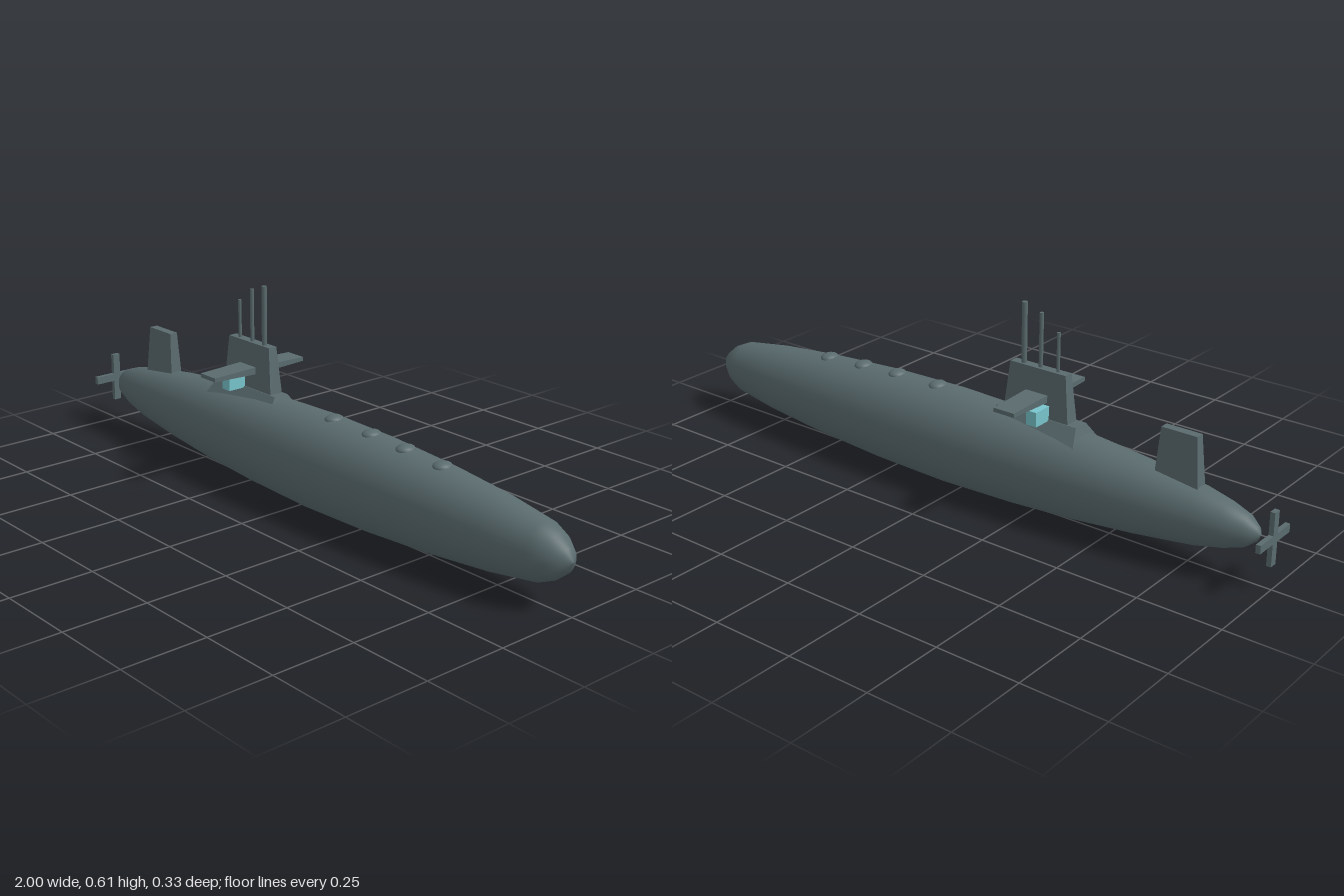
import * as THREE from 'three';

const hullGrey = new THREE.MeshStandardMaterial({ color: 0x5a6b6e });
hullGrey.name = 'hull grey';
const paleTeal = new THREE.MeshStandardMaterial({ color: 0x78c4cc });
paleTeal.name = 'pale teal';

// Box between two heights with a separate x range and half depth at each end
function taperedBox(y0, y1, bottom, top) {
  const g = new THREE.BoxGeometry(1, 1, 1);
  const p = g.attributes.position;
  for (let i = 0; i < p.count; i++) {
    const [x0, x1, z] = p.getY(i) < 0 ? bottom : top;
    p.setXYZ(i, p.getX(i) < 0 ? x0 : x1, p.getY(i) < 0 ? y0 : y1, Math.sign(p.getZ(i)) * z);
  }
  g.computeVertexNormals();
  return g;
}

export function createModel() {
  const sub = new THREE.Group();
  sub.name = 'submarine';
  const add = (name, geometry, x = 0, y = 0, z = 0, material = hullGrey, parent = sub) => {
    const mesh = new THREE.Mesh(geometry, material);
    mesh.name = name;
    mesh.position.set(x, y, z);
    parent.add(mesh);
    return mesh;
  };

  // Hull: profile (x, radius) turned about the long axis, slightly narrower than tall
  const profile = [
    [-0.96, 0], [-0.95, 0.021], [-0.92, 0.045], [-0.86, 0.066], [-0.78, 0.084], [-0.6, 0.107],
    [-0.4, 0.126], [-0.2, 0.138], [0.05, 0.145], [0.3, 0.14], [0.54, 0.126], [0.75, 0.106],
    [0.9, 0.083], [0.945, 0.063], [0.98, 0.034], [0.995, 0],
  ].map(([x, r]) => new THREE.Vector2(r, x));
  const hull = new THREE.LatheGeometry(profile, 40);
  hull.rotateZ(-Math.PI / 2);
  hull.scale(1, 1, 0.855);
  add('hull', hull, 0, 0.145);

  // Sail with its sloping base
  add('sailBase', taperedBox(0.25, 0.296, [-0.41, -0.112, 0.058], [-0.395, -0.125, 0.024]));
  add('sail', taperedBox(0.27, 0.434, [-0.368, -0.145, 0.023], [-0.35, -0.163, 0.014]));

  // Sail planes, thinning toward the tips
  for (const side of [1, -1]) {
    const plane = taperedBox(0, 0.167, [-0.037, 0.037, 0.011], [-0.034, 0.034, 0.006]);
    plane.rotateX(side * Math.PI / 2);
    add(side > 0 ? 'rightSailPlane' : 'leftSailPlane', plane, -0.257, 0.353);
  }
  add('sailWindowBlock', new THREE.BoxGeometry(0.034, 0.043, 0.16), -0.285, 0.313, 0, paleTeal);

  // Masts
  for (const [x, top, r] of [[-0.315, 0.548, 0.005], [-0.257, 0.592, 0.006], [-0.2, 0.611, 0.008]]) {
    add('mast', new THREE.CylinderGeometry(r, r, top - 0.4, 12), x, (top + 0.4) / 2);
  }

  // Tail fin
  add('tailFin', taperedBox(0.2, 0.37, [-0.78, -0.643, 0.021], [-0.765, -0.656, 0.013]));

  // Low domed deck hatches
  for (const [x, y] of [[0.11, 0.284], [0.265, 0.281], [0.4, 0.275], [0.54, 0.266]]) {
    const dome = new THREE.SphereGeometry(1, 20, 12);
    dome.scale(0.026, 0.015, 0.03);
    add('deckHatch', dome, x, y);
  }

  // Four-bladed propeller
  const propeller = new THREE.Group();
  propeller.name = 'propeller';
  propeller.position.set(-0.993, 0.148, 0);
  for (let i = 0; i < 2; i++) {
    const blade = add('bladePair', new THREE.BoxGeometry(0.014, 0.155, 0.024), 0, 0, 0, hullGrey, propeller);
    blade.rotation.x = i * Math.PI / 2;
  }
  sub.add(propeller);

  return sub;
}
